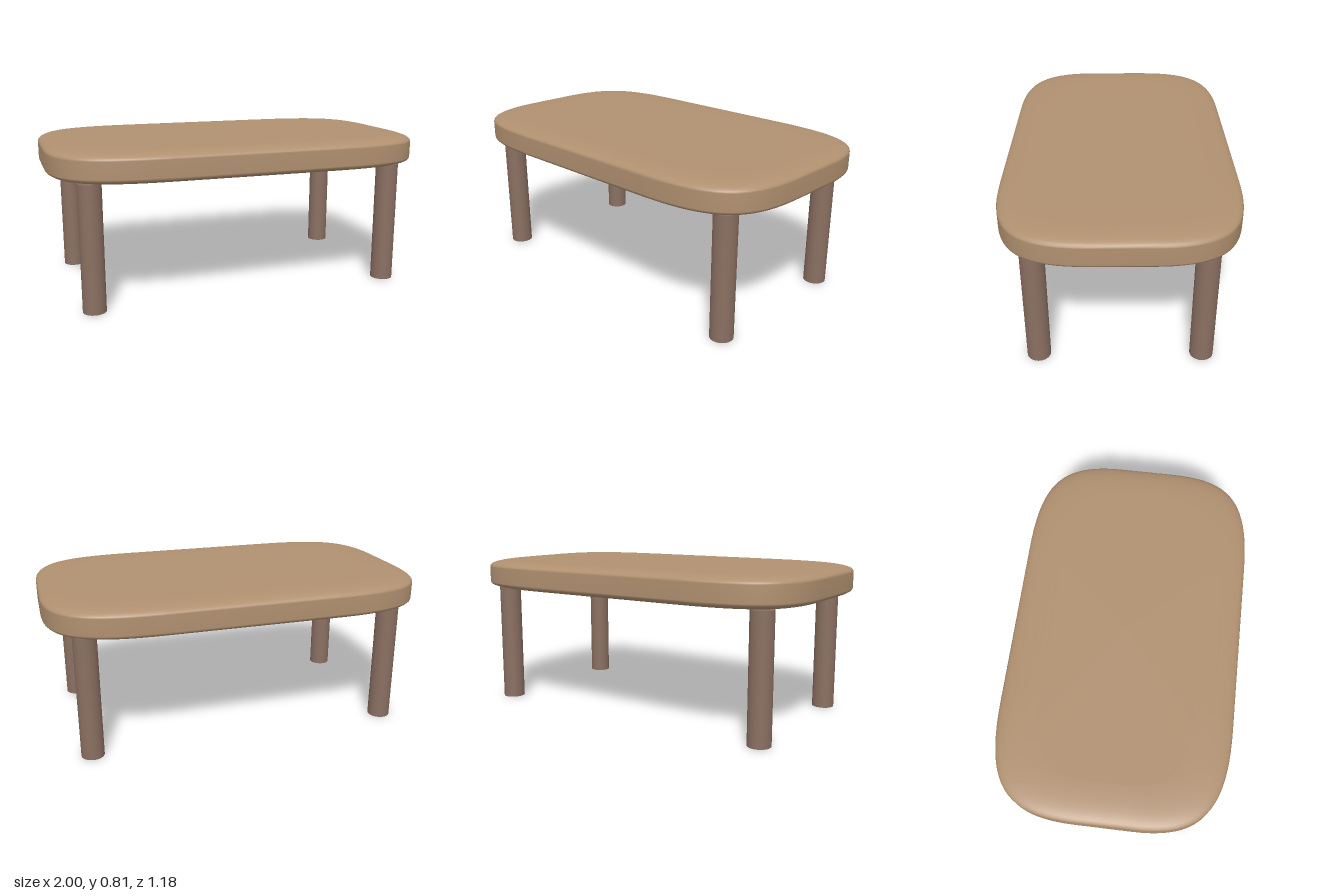
import * as THREE from 'three';

const HALF_X = 1, HALF_Z = 0.59, BOTTOM = 0.648, TOP = 0.814;

// Softly squared outline, running from +x round to +z, -x, -z
function outline() {
  const corner = new THREE.CubicBezierCurve(
    new THREE.Vector2(1, 0.14), new THREE.Vector2(1, 0.48),
    new THREE.Vector2(0.87, HALF_Z), new THREE.Vector2(0.45, HALF_Z)
  ).getPoints(20);
  const back = [...corner].reverse();
  const flip = (pts, sx, sz) => pts.map(p => [p.x * sx, p.y * sz]);
  return [
    ...flip(corner, 1, 1), ...flip(back, -1, 1),
    ...flip(corner, -1, -1), ...flip(back, 1, -1),
  ];
}

// Edge profile as [inset, height]: rounded below, upright, rounded above
function edgeProfile() {
  const round = (y0, y1) => new THREE.QuadraticBezierCurve(
    new THREE.Vector2(0, y0), new THREE.Vector2(0, y1), new THREE.Vector2(0.2, y1)
  ).getPoints(10).map(p => [p.x, p.y]);
  return [...round(0.688, BOTTOM).reverse(), ...round(0.774, TOP)];
}

// Slab lofted through the inset rings, closed by a fan above and below
function slabGeometry() {
  const ring = outline(), rows = edgeProfile(), n = ring.length;
  const pos = [], index = [];
  for (const [inset, y] of rows) {
    for (const [x, z] of ring) {
      pos.push(x * (1 - inset / HALF_X), y, z * (1 - inset / HALF_Z));
    }
  }
  const low = rows.length * n, high = low + 1, last = (rows.length - 1) * n;
  pos.push(0, BOTTOM, 0, 0, TOP, 0);
  for (let i = 0; i < n; i++) {
    const j = (i + 1) % n;
    for (let r = 0; r < rows.length - 1; r++) {
      const a = r * n + i, b = r * n + j;
      index.push(a, a + n, b, b, a + n, b + n);
    }
    index.push(low, i, j);
    index.push(high, last + j, last + i);
  }
  const geo = new THREE.BufferGeometry();
  geo.setAttribute('position', new THREE.Float32BufferAttribute(pos, 3));
  geo.setIndex(index);
  geo.computeVertexNormals();
  return geo;
}

export function createModel() {
  const table = new THREE.Group();
  table.name = 'table';
  const lightWood = new THREE.MeshStandardMaterial({ color: 0xb09070 });
  lightWood.name = 'lightWood';
  const darkWood = new THREE.MeshStandardMaterial({ color: 0x8a6f61 });
  darkWood.name = 'darkWood';

  const top = new THREE.Mesh(slabGeometry(), lightWood);
  top.name = 'tableTop';
  table.add(top);

  // Four straight round legs
  const legGeo = new THREE.CylinderGeometry(0.059, 0.059, 0.652, 32);
  for (const [sx, side] of [[1, 'Left'], [-1, 'Right']]) {
    for (const [sz, end] of [[1, 'front'], [-1, 'back']]) {
      const leg = new THREE.Mesh(legGeo, darkWood);
      leg.name = `${end}${side}Leg`;
      leg.position.set(sx * 0.813, 0.326, sz * 0.408);
      table.add(leg);
    }
  }
  return table;
}
